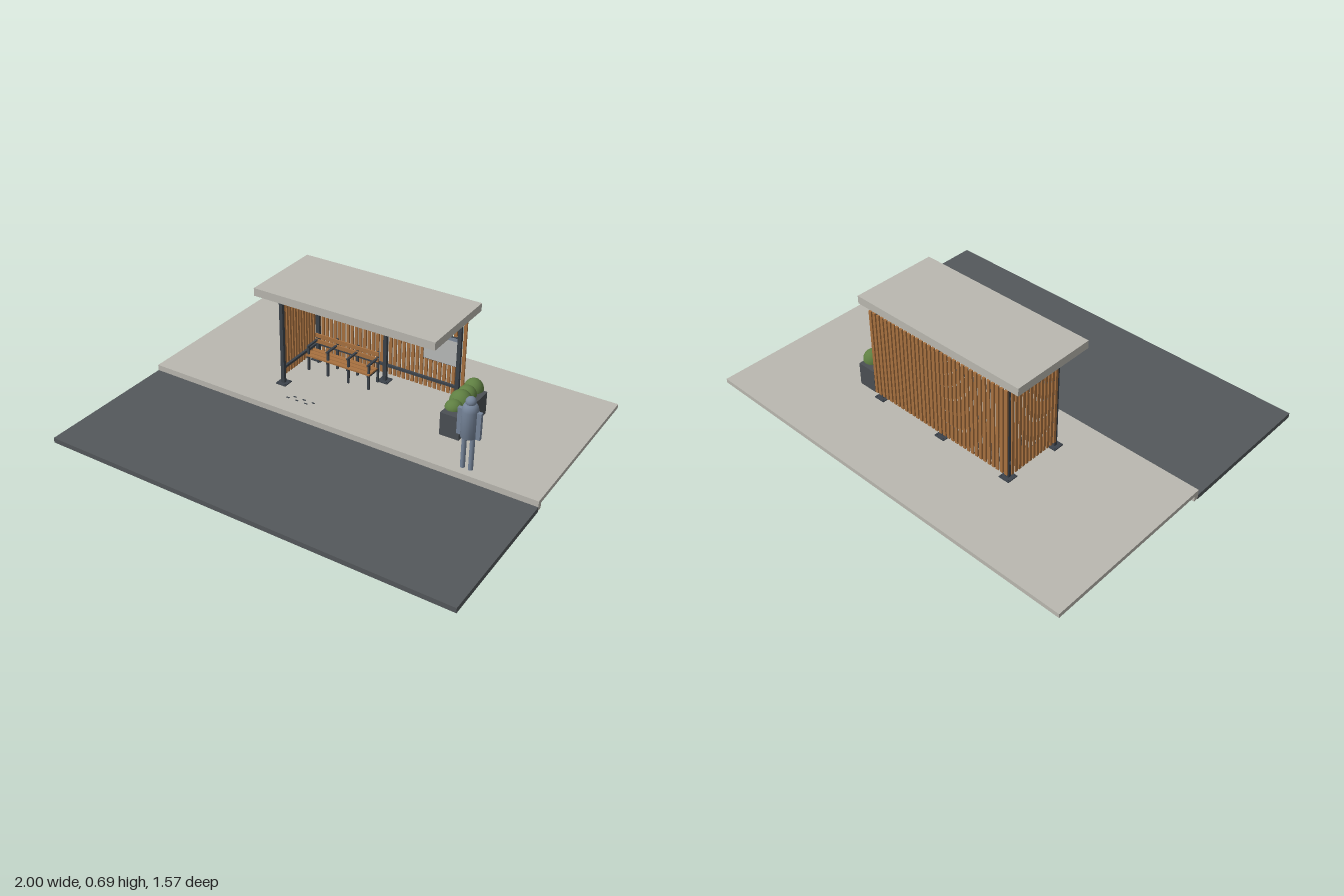
import * as THREE from 'three';

const mat = (name, color) => new THREE.MeshStandardMaterial({ name, color });

export function createModel() {
  const root = new THREE.Group();
  root.name = 'busShelter';
  const concrete = mat('concrete', 0xbab8b0);
  const asphalt = mat('asphalt', 0x54585b);
  const steel = mat('darkSteel', 0x3c434b);
  const wood = mat('wood', 0xa8713f);
  const planterGrey = mat('planterGrey', 0x4b4f54);
  const leaf = mat('foliage', 0x5f7f42);
  const cloth = mat('figureBlueGrey', 0x76859a);
  const board = mat('panelFace', 0xb9bbba);
  const header = mat('panelHeader', 0x7d8a9a);
  leaf.side = THREE.DoubleSide;

  const group = (name) => {
    const g = new THREE.Group();
    g.name = name;
    root.add(g);
    return g;
  };
  const add = (parent, name, geometry, material, x = 0, y = 0, z = 0) => {
    const m = new THREE.Mesh(geometry, material);
    m.name = name;
    m.position.set(x, y, z);
    parent.add(m);
    return m;
  };
  // box given by its limits on each axis
  const box = (parent, name, material, x0, x1, y0, y1, z0, z1) =>
    add(parent, name, new THREE.BoxGeometry(x1 - x0, y1 - y0, z1 - z0), material,
      (x0 + x1) / 2, (y0 + y1) / 2, (z0 + z1) / 2);

  const floor = 0.168;

  // ground
  const ground = group('ground');
  box(ground, 'pavement', concrete, -1, 1, 0.147, floor, -0.785, 0.06);
  box(ground, 'curb', concrete, -1, 1, 0.12, floor, 0.06, 0.085);
  box(ground, 'road', asphalt, -1, 1, 0.115, 0.139, 0.085, 0.785);

  // posts with base plates, bolts and footings
  const frame = group('frame');
  const posts = [[-0.38, -0.385], [-0.003, -0.385], [0.377, -0.385], [-0.393, -0.11]];
  for (const [x, z] of posts) {
    box(frame, 'post', steel, x - 0.009, x + 0.009, floor, 0.656, z - 0.008, z + 0.008);
    box(frame, 'basePlate', steel, x - 0.027, x + 0.027, floor, floor + 0.005, z - 0.027, z + 0.027);
    for (const sx of [-1, 1]) for (const sz of [-1, 1])
      add(frame, 'bolt', new THREE.CylinderGeometry(0.003, 0.003, 0.005, 8), steel,
        x + sx * 0.02, floor + 0.007, z + sz * 0.02);
    box(frame, 'footing', concrete, x - 0.078, x + 0.078, 0, 0.147, z - 0.079, z + 0.079);
  }
  for (const y of [0.25, 0.588]) {
    box(frame, 'backRail', steel, -0.385, 0.385, y - 0.006, y + 0.006, -0.4, -0.388);
    box(frame, 'sideRail', steel, -0.399, -0.387, y - 0.006, y + 0.006, -0.385, -0.11);
  }

  // timber slat walls
  const walls = group('slatWalls');
  const backCount = 34;
  for (let i = 0; i < backCount; i++) {
    const x = -0.388 + i * (0.78 / (backCount - 1));
    box(walls, 'backSlat', wood, x - 0.0075, x + 0.0075, 0.2, 0.642, -0.409, -0.401);
  }
  for (let i = 0; i < 13; i++) {
    const z = -0.123 - i * 0.0217;
    box(walls, 'sideSlat', wood, -0.407, -0.4, 0.2, 0.642, z - 0.0065, z + 0.0065);
  }

  box(root, 'roof', concrete, -0.458, 0.456, 0.656, 0.694, -0.414, 0.004);

  // notice panel on the back wall
  const panel = group('noticePanel');
  box(panel, 'panelFrame', steel, 0.193, 0.377, 0.354, 0.5, -0.401, -0.391);
  box(panel, 'panelFace', board, 0.196, 0.374, 0.357, 0.483, -0.391, -0.388);
  box(panel, 'panelHeader', header, 0.196, 0.374, 0.483, 0.498, -0.391, -0.388);

  // bench
  const bench = group('bench');
  for (const z of [-0.275, -0.302, -0.329])
    box(bench, 'seatSlat', wood, -0.37, -0.018, 0.246, 0.254, z - 0.011, z + 0.011);
  for (const y of [0.292, 0.322])
    box(bench, 'backrestSlat', wood, -0.37, -0.018, y - 0.01, y + 0.01, -0.352, -0.345);
  for (const x of [-0.362, -0.252, -0.138, -0.026]) {
    const b = 0.005;
    box(bench, 'frontLeg', steel, x - b, x + b, floor, 0.3, -0.28, -0.27);
    box(bench, 'backLeg', steel, x - b, x + b, floor, 0.332, -0.362, -0.352);
    box(bench, 'seatBearer', steel, x - b, x + b, 0.236, 0.246, -0.352, -0.264);
    box(bench, 'armrest', steel, x - b, x + b, 0.294, 0.302, -0.352, -0.264);
  }

  // planter with rounded shrubs
  const planter = group('planter');
  box(planter, 'planterBox', planterGrey, 0.43, 0.526, floor, 0.282, -0.386, -0.124);
  const dome = new THREE.SphereGeometry(1, 20, 8, 0, Math.PI * 2, 0, Math.PI / 2);
  const shrubs = [[-0.16, 0.04, 0.035], [-0.22, 0.052, 0.054], [-0.283, 0.044, 0.044], [-0.341, 0.046, 0.052]];
  shrubs.forEach(([z, r, h], i) =>
    add(planter, 'shrub', dome, leaf, 0.476 + (i % 2) * 0.003, 0.305, z).scale.set(r, h, r));

  // standing figure
  const person = group('standingFigure');
  person.position.set(0.648, 0, 0.036);
  const torso = [[0, 0.33], [0.036, 0.33], [0.036, 0.455], [0.034, 0.47], [0.028, 0.482], [0.018, 0.49], [0, 0.492]]
    .map(([r, y]) => new THREE.Vector2(r, y));
  add(person, 'torso', new THREE.LatheGeometry(torso, 20), cloth);
  add(person, 'head', new THREE.SphereGeometry(0.023, 18, 12), cloth, 0, 0.496, 0);
  for (const s of [-1, 1]) {
    add(person, 'leg', new THREE.CylinderGeometry(0.011, 0.011, 0.17, 14), cloth, s * 0.019, floor + 0.085, 0);
    box(person, 'arm', cloth, s * 0.044 - 0.01, s * 0.044 + 0.01, 0.328, 0.455, -0.009, 0.009);
  }

  // small paving marks in front of the bench
  const marks = group('pavingMarks');
  for (let i = 0; i < 6; i++) {
    const x = -0.3 + i * 0.025, z = -0.012 - (i % 2) * 0.022;
    box(marks, 'pavingMark', steel, x - 0.008, x + 0.008, floor, floor + 0.002, z - 0.003, z + 0.003);
  }
  return root;
}
